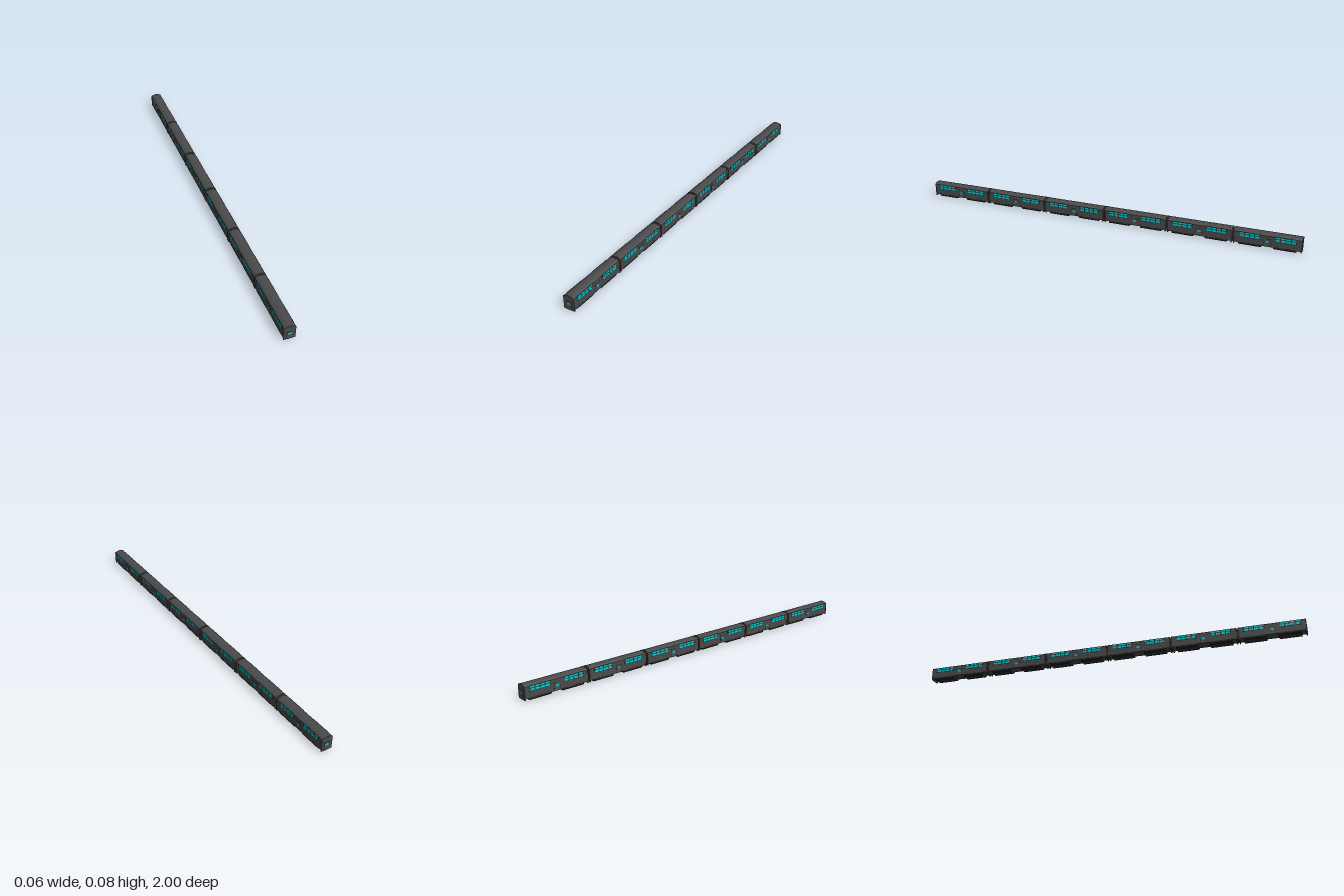
import * as THREE from 'three';

const CARS = 6;
const PITCH = 2 / CARS;
const LEN = PITCH - 0.007;
const HALF_W = 0.027;

const paint = (color) => new THREE.MeshStandardMaterial({ color });
const shell = paint(0x4a4a4a);
const doorGrey = paint(0x505050);
const frameDark = paint(0x2c2c2c);
const dark = paint(0x303030);
const glass = paint(0x00ccd4);

function add(parent, name, geometry, material, x = 0, y = 0, z = 0) {
  const mesh = new THREE.Mesh(geometry, material);
  mesh.name = name;
  mesh.position.set(x, y, z);
  parent.add(mesh);
  return mesh;
}

const box = (w, h, d) => new THREE.BoxGeometry(w, h, d);

// Upright section with an arched roof, swept along z and centred
function archedPrism(halfW, bottom, eave, top, depth) {
  const sag = top - eave;
  const r = (halfW * halfW + sag * sag) / (2 * sag);
  const a = Math.asin(halfW / r);
  const s = new THREE.Shape();
  s.moveTo(-halfW, bottom);
  s.lineTo(halfW, bottom);
  s.lineTo(halfW, eave);
  s.absarc(0, top - r, r, Math.PI / 2 - a, Math.PI / 2 + a, false);
  s.closePath();
  const g = new THREE.ExtrudeGeometry(s, { depth, bevelEnabled: false, curveSegments: 10 });
  return g.translate(0, 0, -depth / 2);
}

// Underframe skirt whose lower edges turn inward
function skirtGeometry(depth) {
  const s = new THREE.Shape();
  s.moveTo(-0.02, 0);
  s.lineTo(0.02, 0);
  s.lineTo(0.0255, 0.005);
  s.lineTo(0.0275, 0.014);
  s.lineTo(-0.0275, 0.014);
  s.lineTo(-0.0255, 0.005);
  s.closePath();
  const g = new THREE.ExtrudeGeometry(s, { depth, bevelEnabled: false });
  return g.translate(0, 0, -depth / 2);
}

const bodyGeo = archedPrism(HALF_W, 0.011, 0.0675, 0.0765, LEN);
const rimGeo = archedPrism(0.028, 0.004, 0.068, 0.077, 0.005);
const gangwayGeo = archedPrism(0.021, 0.008, 0.06, 0.068, 0.02);
const skirtGeo = skirtGeometry(0.108);

// Door with a frame and a window, facing +z
function endDoor() {
  const door = new THREE.Group();
  door.name = 'endDoor';
  add(door, 'doorFrame', box(0.028, 0.042, 0.001), frameDark, 0, 0.025, 0);
  add(door, 'doorPanel', box(0.0255, 0.04, 0.0016), doorGrey, 0, 0.0245, 0);
  add(door, 'doorWindow', box(0.017, 0.01, 0.0022), glass, 0, 0.036, 0);
  return door;
}

function carSide(side) {
  const g = new THREE.Group();
  g.name = side > 0 ? 'leftSide' : 'rightSide';
  const x = side * HALF_W;

  // Two banks of windows, four columns by two rows
  for (const bank of [-1, 1]) {
    add(g, 'windowSurround', box(0.0008, 0.026, 0.103), frameDark, x, 0.0555, bank * 0.086);
    for (let col = 0; col < 4; col++) {
      const z = bank * 0.086 + (col - 1.5) * 0.025;
      add(g, 'upperWindow', box(0.0014, 0.008, 0.021), glass, x, 0.0625, z);
      add(g, 'lowerWindow', box(0.0014, 0.01, 0.021), glass, x, 0.05, z);
    }
  }

  // Central side door
  add(g, 'sideDoorFrame', box(0.001, 0.04, 0.034), frameDark, x, 0.031, 0);
  add(g, 'sideDoor', box(0.0014, 0.038, 0.031), doorGrey, x, 0.0305, 0);
  add(g, 'sideDoorWindow', box(0.002, 0.01, 0.014), glass, x, 0.036, 0);
  return g;
}

function makeCar(index) {
  const car = new THREE.Group();
  car.name = 'car' + (index + 1);
  add(car, 'body', bodyGeo, shell);
  for (const side of [-1, 1]) car.add(carSide(side));
  for (const end of [-1, 1]) {
    add(car, 'endRim', rimGeo, shell, 0, 0, end * (LEN / 2 - 0.0025));
    add(car, 'underframeSkirt', skirtGeo, dark, 0, 0, end * 0.084);
    const door = endDoor();
    door.position.z = end * (LEN / 2 + 0.0003);
    if (end < 0) door.rotation.y = Math.PI;
    car.add(door);
  }
  return car;
}

export function createModel() {
  const train = new THREE.Group();
  train.name = 'train';

  // Spread the cars so the outer end walls land on z = -1 and z = 1
  const step = (2 - LEN - 0.003) / (CARS - 1);
  for (let i = 0; i < CARS; i++) {
    const car = makeCar(i);
    car.position.z = (i - (CARS - 1) / 2) * step;
    train.add(car);
  }

  // Gangways joining neighbouring cars
  for (let i = 1; i < CARS; i++) {
    add(train, 'gangway', gangwayGeo, dark, 0, 0, (i - CARS / 2) * step);
  }
  return train;
}
